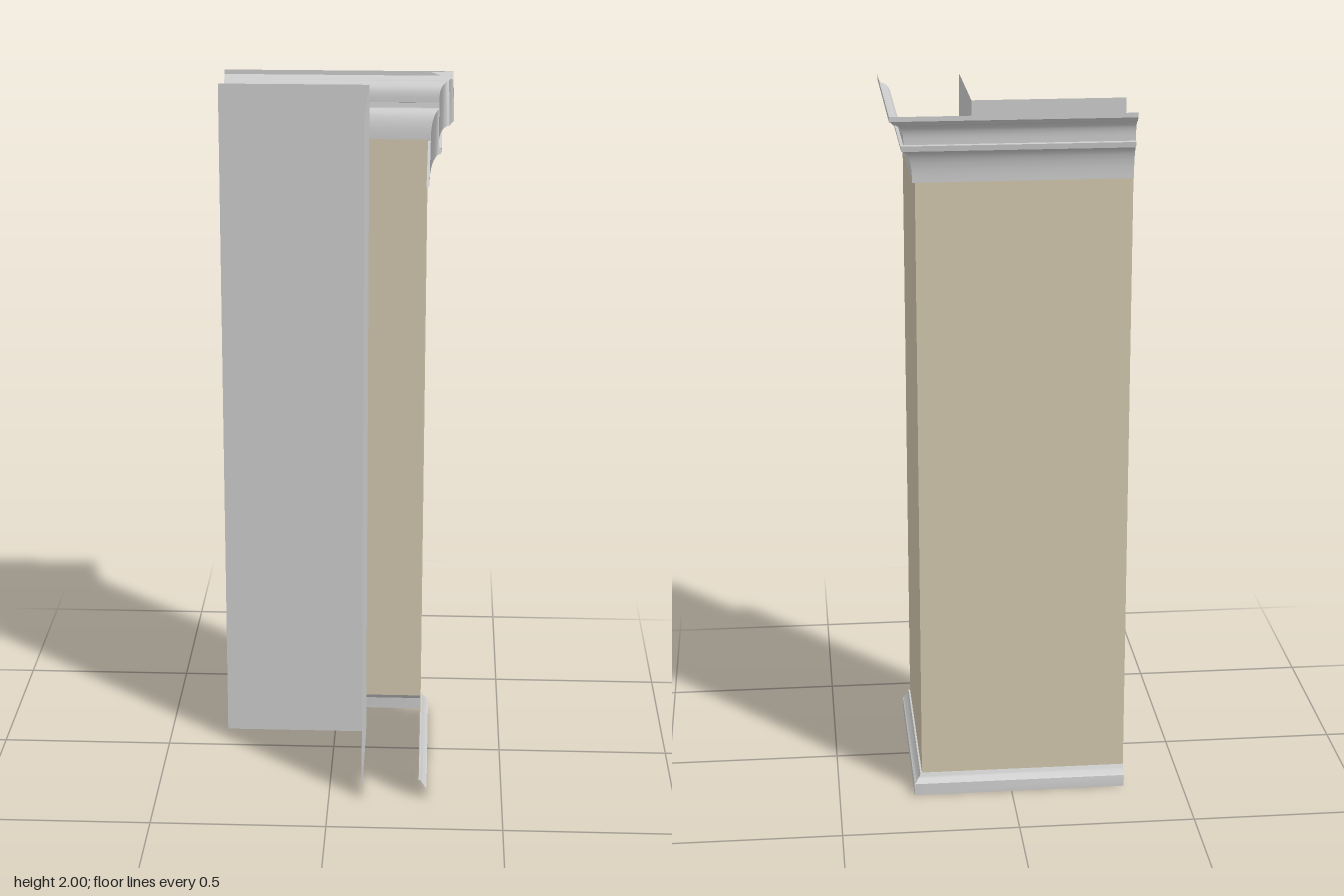
import * as THREE from 'three';
import { toCreasedNormals } from 'three/addons/utils/BufferGeometryUtils.js';

const LEFT_END = -0.33, FRONT_END = 0.32;
const WALL = [0.26, -0.253];    // outer wall corner (x, z)
const INNER = [0.095, -0.107];  // inner lining corner (x, z)

const grey = new THREE.MeshStandardMaterial({ color: 0xcccccc, side: THREE.DoubleSide });
const tan = new THREE.MeshStandardMaterial({ color: 0xd1c6ad, side: THREE.DoubleSide });

// Sweeps an open [outward offset, height] profile round the mitred L-shaped corner
function sweepCorner(name, profile, [cx, cz], material) {
  const positions = [], index = [];
  for (const [o, y] of profile) {
    positions.push(LEFT_END, y, cz - o, cx + o, y, cz - o, cx + o, y, FRONT_END);
  }
  for (let i = 0; i < profile.length - 1; i++) {
    for (let j = 0; j < 2; j++) {
      const a = i * 3 + j, b = a + 1, c = a + 3, d = a + 4;
      index.push(a, c, b, b, c, d);
    }
  }
  const geometry = new THREE.BufferGeometry();
  geometry.setAttribute('position', new THREE.Float32BufferAttribute(positions, 3));
  geometry.setIndex(index);
  geometry.computeVertexNormals();
  const mesh = new THREE.Mesh(toCreasedNormals(geometry, 0.6), material);
  mesh.name = name;
  return mesh;
}

// Samples a quarter-ellipse cove that rises first and then flares outward
function cove(o0, y0, o1, y1, steps = 6) {
  return Array.from({ length: steps + 1 }, (_, i) => {
    const t = (i / steps) * Math.PI / 2;
    return [o1 - (o1 - o0) * Math.cos(t), y0 + (y1 - y0) * Math.sin(t)];
  });
}

export function createModel() {
  const group = new THREE.Group();
  group.name = 'cornerPilaster';

  // Outer wall panels and full-height inner lining
  group.add(sweepCorner('outerWall', [[0, 0.055], [0, 1.815]], WALL, tan));
  group.add(sweepCorner('innerLining', [[0, 0], [0, 2]], INNER, grey));

  // Crown moulding: lower cove, fillet, upper cove and top lip
  const crown = [
    [0, 1.81], [0.008, 1.81],
    ...cove(0.008, 1.825, 0.037, 1.9),
    [0.039, 1.915], [0.031, 1.917],
    ...cove(0.031, 1.932, 0.058, 1.975),
    [0.066, 1.985], [0.07, 1.987], [0.07, 2],
  ];
  group.add(sweepCorner('crownMoulding', crown, WALL, grey));

  // Triangular plate covering the crown's mitre
  const x = WALL[0] + 0.07, z = WALL[1] - 0.07, s = 0.067;
  const plate = new THREE.BufferGeometry();
  plate.setAttribute('position', new THREE.Float32BufferAttribute(
    [x - s, 1.998, z, x, 1.988, z + s, x, 1.998, z], 3));
  plate.computeVertexNormals();
  const cap = new THREE.Mesh(plate, grey);
  cap.name = 'mitrePlate';
  group.add(cap);

  // Base moulding
  const base = [[0.023, 0], [0.023, 0.035], [0.018, 0.038], [0.013, 0.047], [0.007, 0.053], [0.005, 0.06], [0, 0.06]];
  group.add(sweepCorner('baseMoulding', base, WALL, grey));

  return group;
}
